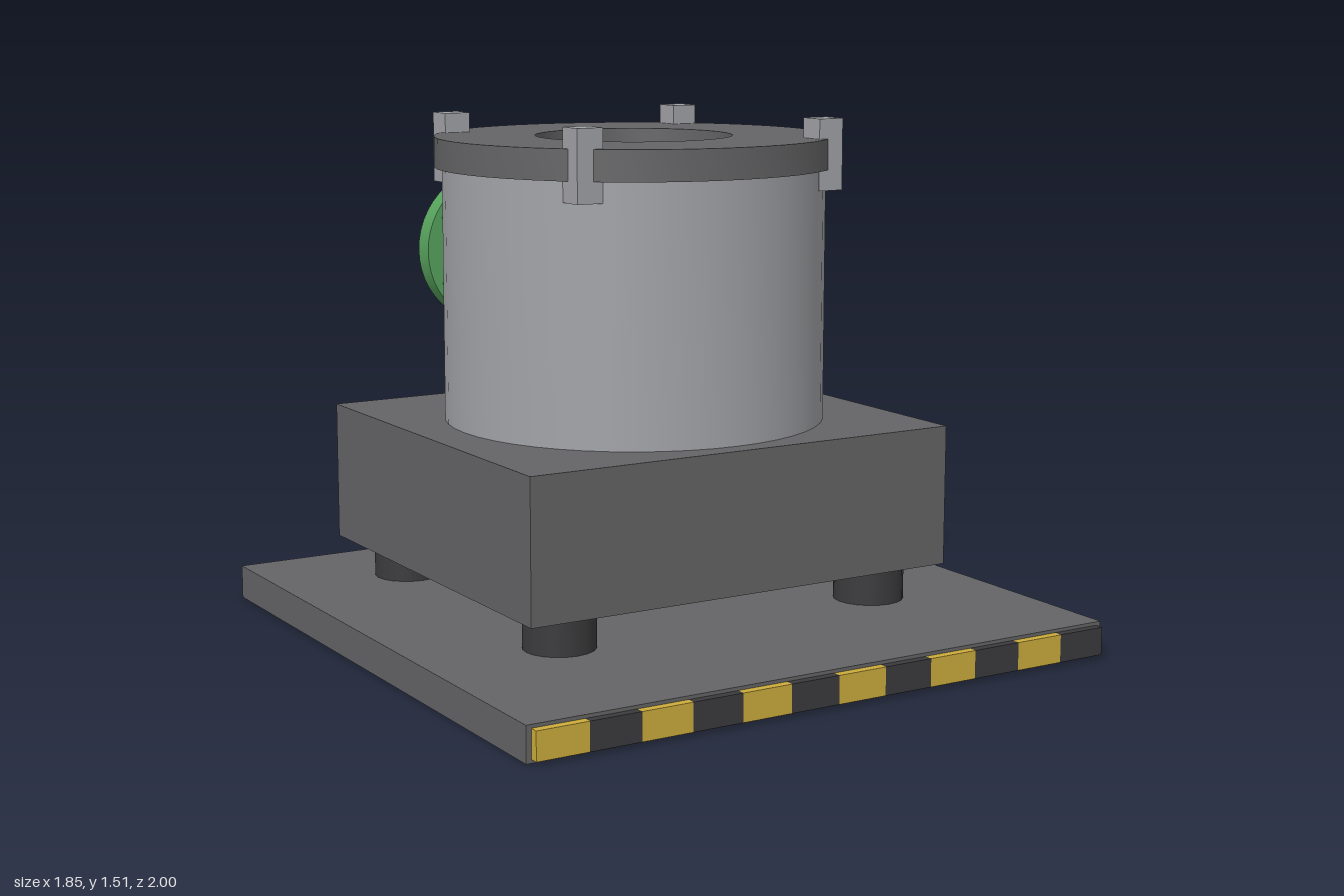
import * as THREE from 'three';
import { toCreasedNormals } from 'three/addons/utils/BufferGeometryUtils.js';

export function createModel() {
  const mat = (name, color) => {
    const m = new THREE.MeshStandardMaterial({ color });
    m.name = name;
    return m;
  };
  const grey = mat('machine grey', 0x646466);
  const steel = mat('light steel', 0xa2a3a7);
  const dark = mat('dark rubber', 0x3b3b3d);
  const yellow = mat('warning yellow', 0xcdac3c);
  const green = mat('flange green', 0x58a45e);
  const orange = mat('display orange', 0xd08030);

  const model = new THREE.Group();
  const CZ = -0.06; // z of the machine's vertical axis

  const add = (name, geometry, material, x, y, z, parent = model) => {
    const mesh = new THREE.Mesh(geometry, material);
    mesh.name = name;
    mesh.position.set(x, y, z);
    parent.add(mesh);
    return mesh;
  };
  // Box given by its minimum and maximum corners
  const box = (name, material, [x0, y0, z0], [x1, y1, z1], parent) =>
    add(name, new THREE.BoxGeometry(x1 - x0, y1 - y0, z1 - z0), material,
      (x0 + x1) / 2, (y0 + y1) / 2, (z0 + z1) / 2, parent);
  // Hollow ring with square edges, standing on y0
  const ring = (inner, outer, y0, y1) => toCreasedNormals(new THREE.LatheGeometry(
    [[inner, y0], [outer, y0], [outer, y1], [inner, y1], [inner, y0]]
      .map(([r, y]) => new THREE.Vector2(r, y)), 48), 0.6);

  // Base plate with a hazard strip along its front edge
  box('basePlate', grey, [-0.925, 0, -0.885], [0.925, 0.1, 0.975]);
  const stripeWidth = 1.82 / 12;
  for (let i = 0; i < 12; i++) {
    const x = -0.91 + i * stripeWidth;
    box('hazardStripe', i % 2 ? dark : yellow, [x, 0.01, 0.975], [x + stripeWidth, 0.09, 1]);
  }

  // Feet and housing
  for (const sx of [-1, 1]) for (const sz of [-1, 1]) {
    add('foot', new THREE.CylinderGeometry(0.103, 0.103, 0.11, 20), dark, sx * 0.52, 0.155, CZ + sz * 0.475);
  }
  box('housing', grey, [-0.685, 0.21, -0.68], [0.685, 0.62, 0.56]);

  // Open drum with dark floor, and lid with a round opening
  add('drum', ring(0.53, 0.56, 0.62, 1.365), steel, 0, 0, CZ);
  add('drumFloor', new THREE.CylinderGeometry(0.535, 0.535, 0.03, 48), dark, 0, 0.635, CZ);
  add('lid', ring(0.288, 0.582, 1.362, 1.45), grey, 0, 0, CZ);

  // Lid clamps
  for (const sx of [-1, 1]) for (const sz of [-1, 1]) {
    add('lidClamp', new THREE.BoxGeometry(0.08, 0.205, 0.08), steel, sx * 0.395, 1.405, CZ + sz * 0.395);
  }

  // Rotor: hub, shaft and six arms carrying buckets
  const rotor = new THREE.Group();
  rotor.name = 'rotor';
  rotor.position.z = CZ;
  model.add(rotor);
  add('rotorHub', new THREE.CylinderGeometry(0.08, 0.08, 0.14, 24), steel, 0, 1.25, 0, rotor);
  add('rotorShaft', new THREE.CylinderGeometry(0.05, 0.05, 0.55, 20), steel, 0, 0.92, 0, rotor);
  for (let i = 0; i < 6; i++) {
    const arm = new THREE.Group();
    arm.name = 'rotorArm';
    arm.rotation.y = i * Math.PI / 3;
    rotor.add(arm);
    box('armBar', steel, [0.04, 1.22, -0.045], [0.36, 1.28, 0.045], arm);
    box('bucket', yellow, [0.32, 1.14, -0.06], [0.44, 1.295, 0.06], arm);
  }

  // Rear outlet: pipe, flange, seal, cover and bolts, built along -z
  const outlet = new THREE.Group();
  outlet.name = 'outlet';
  outlet.position.set(0, 1.035, 0);
  outlet.rotation.x = -Math.PI / 2;
  model.add(outlet);
  add('outletPipe', new THREE.CylinderGeometry(0.178, 0.178, 0.4, 40), steel, 0, 0.78, 0, outlet);
  add('outletFlange', ring(0.185, 0.248, 0.928, 0.997), green, 0, 0, 0, outlet);
  add('outletSeal', ring(0.16, 0.187, 0.97, 0.988), dark, 0, 0, 0, outlet);
  add('outletCover', new THREE.CylinderGeometry(0.163, 0.163, 0.02, 40), steel, 0, 0.98, 0, outlet);
  for (let i = 0; i < 6; i++) {
    const a = i * Math.PI / 3;
    add('flangeBolt', new THREE.CylinderGeometry(0.014, 0.014, 0.076, 8), green,
      0.212 * Math.sin(a), 0.962, 0.212 * Math.cos(a), outlet);
  }

  // Control box with display
  box('controlBox', grey, [0.37, 0.66, -0.68], [0.7, 0.91, -0.475]);
  box('display', orange, [0.42, 0.78, -0.475], [0.635, 0.875, -0.466]);

  return model;
}
